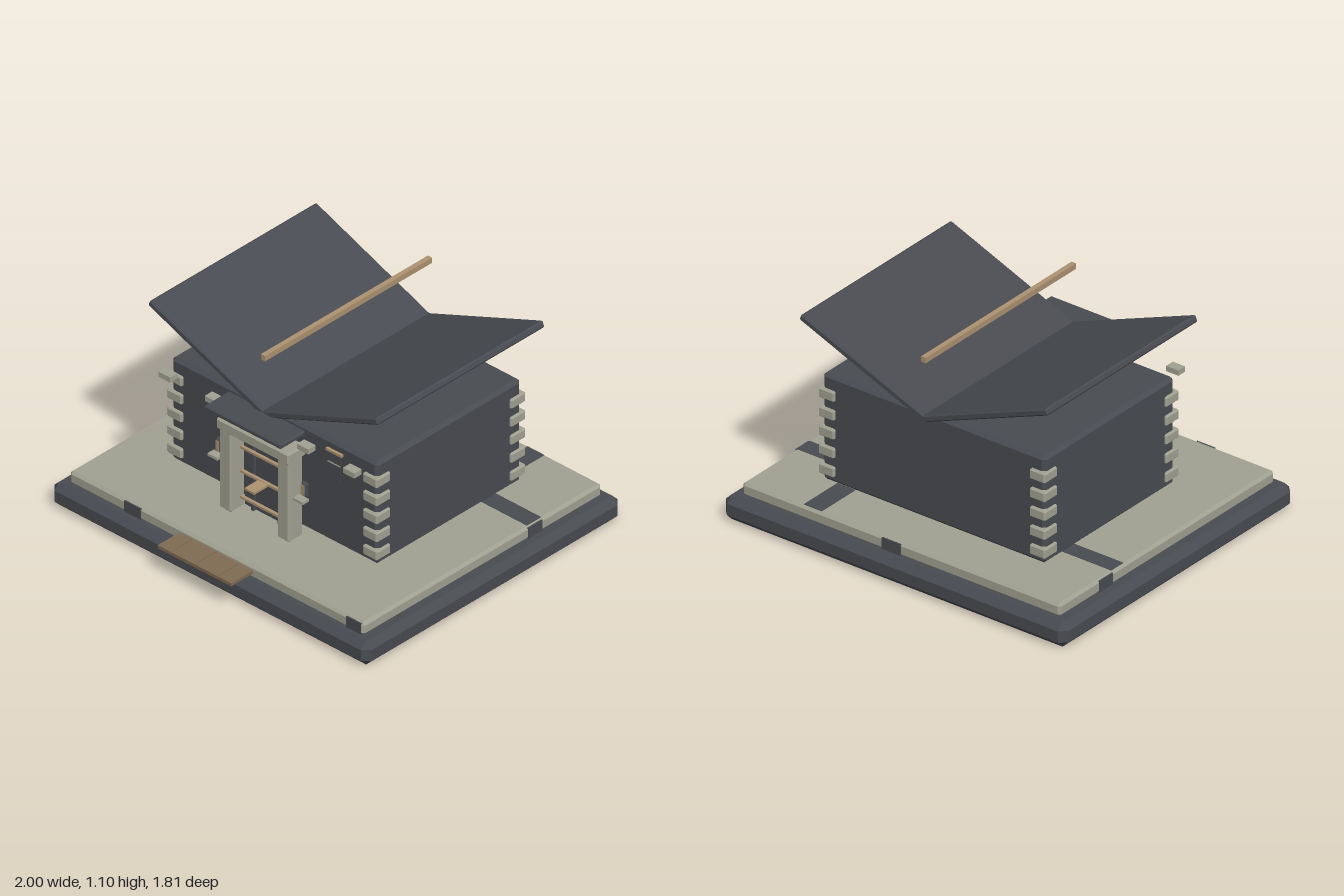
import * as THREE from 'three';
import { ConvexGeometry } from 'three/addons/geometries/ConvexGeometry.js';

const mat = (name, color) => {
  const m = new THREE.MeshStandardMaterial({ color });
  m.name = name;
  return m;
};

// Box with flat chamfers, given by its min and max corners
function chamferBox(x0, x1, y0, y1, z0, z1, b) {
  const c = [(x0 + x1) / 2, (y0 + y1) / 2, (z0 + z1) / 2];
  const h = [(x1 - x0) / 2, (y1 - y0) / 2, (z1 - z0) / 2];
  const pts = [];
  for (const sx of [-1, 1]) for (const sy of [-1, 1]) for (const sz of [-1, 1])
    for (let k = 0; k < 3; k++) {
      const d = [0, 1, 2].map((i) => h[i] - (i === k ? 0 : b));
      pts.push(new THREE.Vector3(c[0] + sx * d[0], c[1] + sy * d[1], c[2] + sz * d[2]));
    }
  return new ConvexGeometry(pts);
}

export function createModel() {
  const root = new THREE.Group();
  root.name = 'stoneHut';
  const slate = mat('slate', 0x484b51);
  const stone = mat('paleStone', 0xa1a192);
  const tan = mat('tanWood', 0xad9270);
  const wood = mat('brownWood', 0x806c52);

  const add = (name, geo, material) => {
    const m = new THREE.Mesh(geo, material);
    m.name = name;
    root.add(m);
    return m;
  };
  const box = (name, material, x0, x1, y0, y1, z0, z1, bevel = 0) => {
    if (bevel) return add(name, chamferBox(x0, x1, y0, y1, z0, z1, bevel), material);
    const m = add(name, new THREE.BoxGeometry(x1 - x0, y1 - y0, z1 - z0), material);
    m.position.set((x0 + x1) / 2, (y0 + y1) / 2, (z0 + z1) / 2);
    return m;
  };

  // Plinth and paved floor
  box('plinth', slate, -1, 1, 0, 0.13, -0.905, 0.815, 0.035);
  box('floorSlab', stone, -0.928, 0.928, 0.125, 0.195, -0.843, 0.757, 0.014);

  // Dark bands across the paving, running from the walls to the edge
  box('pavingBandRight', slate, 0.6, 0.915, 0.193, 0.197, -0.445, -0.35);
  box('pavingBandLeft', slate, -0.915, -0.6, 0.193, 0.197, -0.445, -0.355);
  box('pavingBandBack', slate, 0.47, 0.575, 0.193, 0.197, -0.83, -0.58);
  // Dark patches on the slab edge
  for (const [a, b] of [[-0.58, -0.475], [0.82, 0.912]])
    box('edgePatchFront', slate, a, b, 0.13, 0.19, 0.752, 0.759);
  box('edgePatchBack', slate, 0, 0.11, 0.13, 0.19, -0.845, -0.838);
  box('edgePatchRight', slate, 0.923, 0.93, 0.13, 0.19, -0.44, -0.345);
  box('edgePatchLeft', slate, -0.93, -0.923, 0.13, 0.19, -0.55, -0.45);

  // Plank step
  for (const [a, b] of [[-0.232, -0.152], [-0.148, -0.002], [0.002, 0.143], [0.147, 0.23]])
    box('stepPlank', wood, a, b, 0.155, 0.172, 0.755, 0.903);

  // Walls with corner stones
  box('walls', slate, -0.65, 0.65, 0.2, 0.765, -0.6, 0.37, 0.018);
  for (const s of [-1, 1])
    for (let i = 0; i < 5; i++) {
      const y = 0.264 + i * 0.0995;
      const [a, b] = s > 0 ? [0.57, 0.662] : [-0.662, -0.57];
      box('cornerStone', stone, a, b, y - 0.027, y + 0.027, 0.29, 0.386, 0.007);
      box('cornerStone', stone, a, b, y - 0.027, y + 0.027, -0.616, -0.518, 0.007);
    }

  // Butterfly roof panels and the high beam
  for (const s of [-1, 1]) {
    const p = add('roofPanel', chamferBox(-0.387, 0.387, -0.0175, 0.0175, -0.56, 0.56, 0.007), slate);
    p.position.set(s * 0.361, 0.92, -0.115);
    p.rotation.z = s * 0.379;
  }
  box('ridgeBeam', tan, -0.013, 0.013, 1.075, 1.104, -0.675, 0.445);

  // Eaves blocks
  for (const x of [-0.58, -0.29, 0.29, 0.58])
    box('eavesBlock', stone, x - 0.036, x + 0.036, 0.724, 0.752, 0.438, 0.488);

  // Porch
  box('porchRoof', slate, -0.242, 0.242, 0.755, 0.786, 0.415, 0.584, 0.008);
  box('porchLintel', stone, -0.228, 0.228, 0.632, 0.692, 0.397, 0.519, 0.008);
  for (const s of [-1, 1])
    box('porchPost', stone, s * 0.183 - 0.038, s * 0.183 + 0.038, 0.195, 0.64, 0.41, 0.506, 0.008);

  // Door with bars and handle
  box('doorPanel', slate, -0.145, 0.145, 0.2, 0.615, 0.365, 0.41);
  for (const x of [-0.083, 0.083])
    box('doorUpright', slate, x - 0.007, x + 0.007, 0.2, 0.615, 0.41, 0.428);
  for (const y of [0.255, 0.398, 0.53])
    box('doorBar', tan, -0.147, 0.147, y - 0.006, y + 0.006, 0.428, 0.444);
  box('doorHandle', tan, -0.03, 0.03, 0.39, 0.402, 0.44, 0.536);

  // Wall lanterns
  for (const s of [-1, 1]) {
    const x = s * 0.269;
    box('lanternBracket', stone, x - 0.031, x + 0.031, 0.438, 0.452, 0.455, 0.498);
    box('lanternFrame', slate, x - 0.018, x + 0.018, 0.452, 0.53, 0.436, 0.464, 0.009);
    box('lanternGlass', tan, x - 0.01, x + 0.01, 0.465, 0.518, 0.463, 0.467);
  }

  // Hanging banner with a rounded point
  const flag = new THREE.Shape();
  flag.moveTo(0.447, 0.8);
  flag.lineTo(0.447, 0.64);
  flag.quadraticCurveTo(0.455, 0.615, 0.485, 0.6);
  flag.quadraticCurveTo(0.517, 0.615, 0.524, 0.64);
  flag.lineTo(0.524, 0.8);
  const banner = add('banner', new THREE.ExtrudeGeometry(flag, { depth: 0.006, bevelEnabled: false }), slate);
  banner.position.z = 0.478;
  box('bannerStripe', stone, 0.447, 0.524, 0.742, 0.748, 0.484, 0.487);
  box('bannerRod', tan, 0.435, 0.534, 0.8, 0.813, 0.474, 0.488);

  return root;
}
